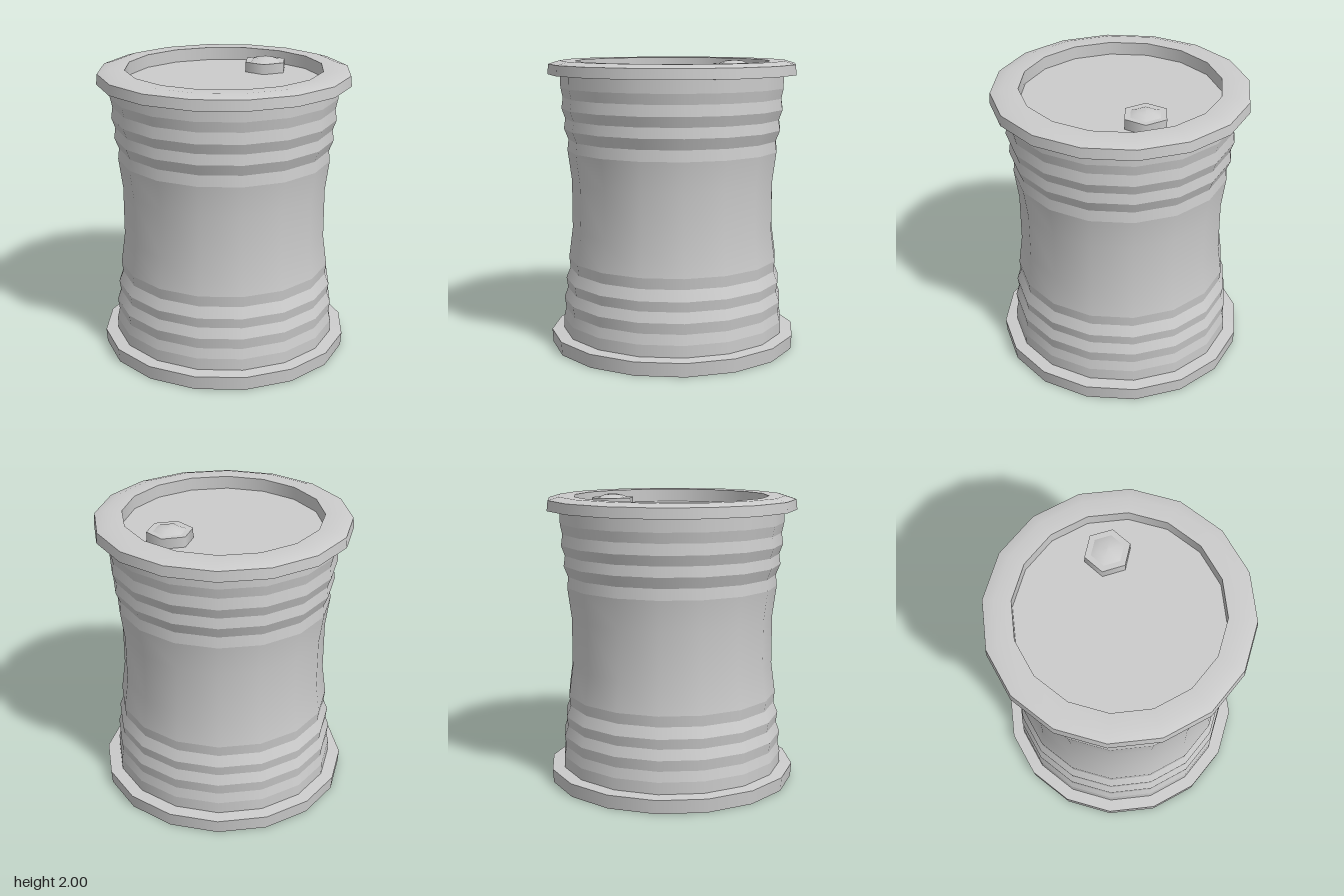
import * as THREE from 'three';

const material = new THREE.MeshStandardMaterial({ color: 0xcccccc, side: THREE.DoubleSide });

// One turned surface, smooth around and along its [radius, height] profile
function turned(name, profile, sides = 16) {
  const points = profile.map(([r, y]) => new THREE.Vector2(r, y));
  const mesh = new THREE.Mesh(new THREE.LatheGeometry(points, sides), material);
  mesh.name = name;
  return mesh;
}

// Several turned bands that meet in sharp rings
function banded(name, profile, sides = 16) {
  const group = new THREE.Group();
  group.name = name;
  for (let i = 0; i < profile.length - 1; i++) {
    group.add(turned(name + 'Band', [profile[i], profile[i + 1]], sides));
  }
  return group;
}

export function createModel() {
  const barrel = new THREE.Group();
  barrel.name = 'barrel';

  // Ribbed ends, mirrored about mid-height
  const ribs = [
    [0.78, 0.1], [0.78, 0.185], [0.765, 0.255], [0.775, 0.33], [0.75, 0.4],
    [0.76, 0.47], [0.73, 0.545], [0.738, 0.62],
  ];
  barrel.add(banded('lowerRibs', ribs));
  barrel.add(banded('upperRibs', ribs.map(([r, y]) => [r, 2 - y]).reverse()));

  // Smooth narrowed waist
  barrel.add(turned('waist', [[0.738, 0.62], [0.71, 0.83], [0.71, 1.17], [0.738, 1.38]]));

  // Open skirt at the foot
  barrel.add(banded('bottomRim', [[0.86, 0], [0.867, 0.095], [0.78, 0.103]]));

  // Top rim: underside, outer wall, rounded top, inner wall
  const topRim = banded('topRim', [[0.78, 1.9], [0.867, 1.905], [0.86, 1.975]]);
  topRim.add(turned('rimTop', [[0.86, 1.975], [0.785, 1.998], [0.675, 1.995]]));
  topRim.add(turned('rimInnerWall', [[0.675, 1.995], [0.675, 1.905]]));
  barrel.add(topRim);

  // Sunken lid
  barrel.add(turned('lid', [[0.675, 1.905], [0, 1.905]]));

  // Hexagonal filler cap with a low dome
  const cap = banded('fillerCap', [[0.153, 0], [0.153, 0.07], [0.11, 0.07]], 6);
  cap.add(turned('capDome', [[0.11, 0.07], [0.06, 0.09], [0, 0.095]], 6));
  cap.position.set(0.418, 1.905, 0.053);
  barrel.add(cap);

  return barrel;
}
